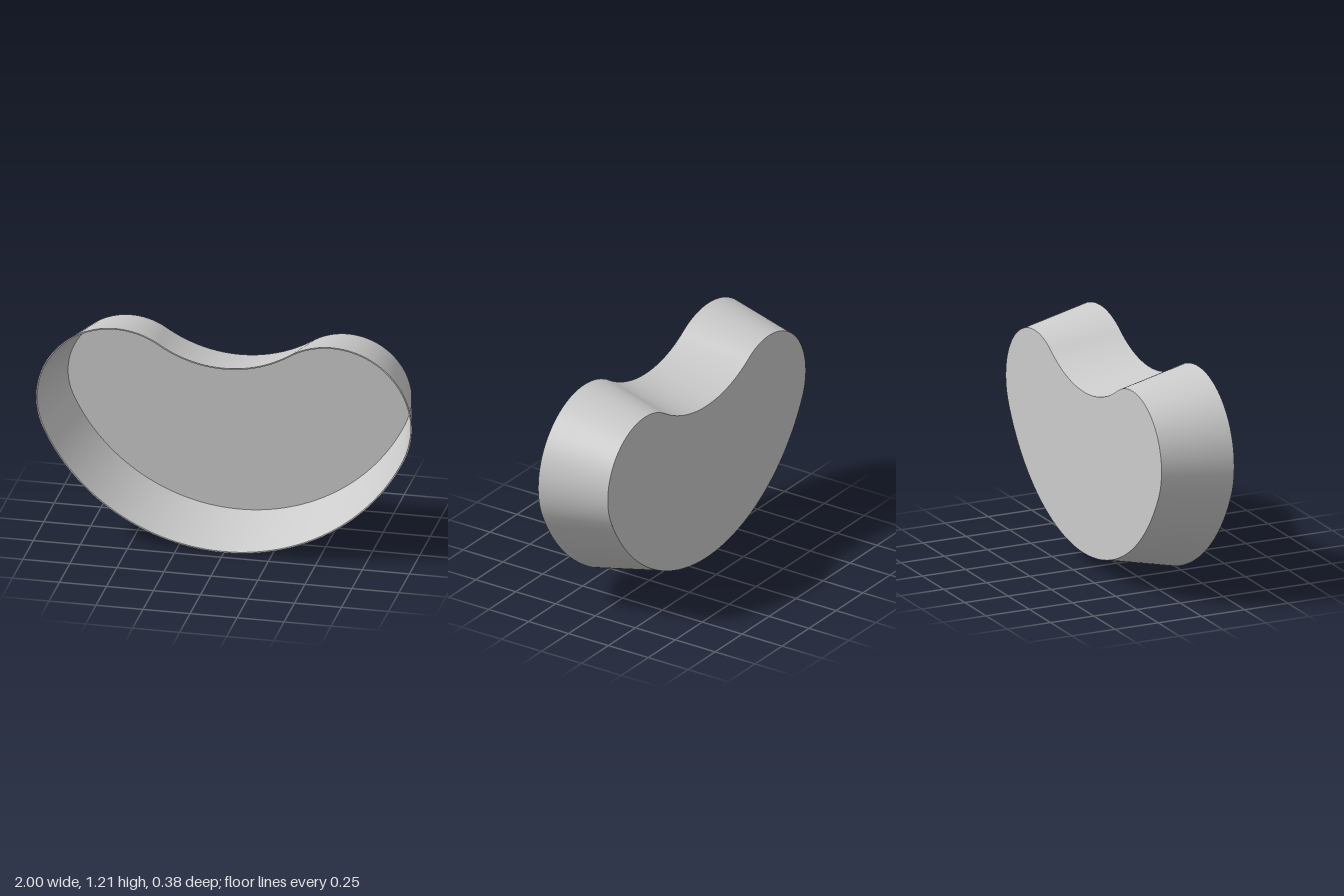
import * as THREE from 'three';

// Kidney outline from four tangent arcs, inset by a given distance
const LOBE = { x: 0.575, y: 0.79, r: 0.425 };
const BELLY = { y: 1.06, r: 1.06 };
const NOTCH = { y: 1.677, r: 0.632 };
const DEPTH = 0.19, TAPER = 0.083, WALL = 0.007;

function outline(inset) {
  const low = Math.atan2(LOBE.y - BELLY.y, LOBE.x);
  const high = Math.atan2(NOTCH.y - LOBE.y, -LOBE.x);
  const points = [];
  const arc = (cx, cy, r, from, to, n) => {
    for (let i = 0; i < n; i++) {
      const a = from + (to - from) * i / n;
      points.push(new THREE.Vector2(cx + r * Math.cos(a), cy + r * Math.sin(a)));
    }
  };
  arc(LOBE.x, LOBE.y, LOBE.r - inset, low, high, 40);
  arc(0, NOTCH.y, NOTCH.r + inset, high - Math.PI, -high, 32);
  arc(-LOBE.x, LOBE.y, LOBE.r - inset, Math.PI - high, Math.PI - low, 40);
  arc(0, BELLY.y, BELLY.r - inset, -Math.PI - low, low, 64);
  return points;
}

// Closed band between two insets at two depths; faces outward when z0 < z1
function band(inset0, z0, inset1, z1) {
  const a = outline(inset0), b = outline(inset1), n = a.length;
  const pos = [], index = [];
  a.forEach(p => pos.push(p.x, p.y, z0));
  b.forEach(p => pos.push(p.x, p.y, z1));
  for (let i = 0; i < n; i++) {
    const j = (i + 1) % n;
    index.push(i, j, n + j, i, n + j, n + i);
  }
  const g = new THREE.BufferGeometry();
  g.setAttribute('position', new THREE.Float32BufferAttribute(pos, 3));
  g.setIndex(index);
  g.computeVertexNormals();
  return g;
}

// Flat kidney plate facing front or back
function plate(inset, z, facesBack) {
  const points = outline(inset);
  const g = new THREE.ShapeGeometry(new THREE.Shape(points));
  if (facesBack) g.rotateY(Math.PI); // the outline is mirror symmetric
  return g.translate(0, 0, z);
}

export function createModel() {
  const group = new THREE.Group();
  const material = new THREE.MeshStandardMaterial({ color: 0xcccccc });
  const add = (name, geometry) => {
    const mesh = new THREE.Mesh(geometry, material);
    mesh.name = name;
    group.add(mesh);
  };
  const floorZ = -DEPTH + WALL;
  const floorInset = TAPER + WALL * (1 - TAPER / (2 * DEPTH));

  // Sloping walls and the thin rim that joins them
  add('outerWall', band(TAPER, -DEPTH, 0, DEPTH));
  add('rim', band(0, DEPTH, WALL, DEPTH));
  add('innerWall', band(WALL, DEPTH, floorInset, floorZ));

  // Floor of the dish, inside and underside
  add('innerFloor', plate(floorInset, floorZ, false));
  add('underside', plate(TAPER, -DEPTH, true));
  return group;
}
